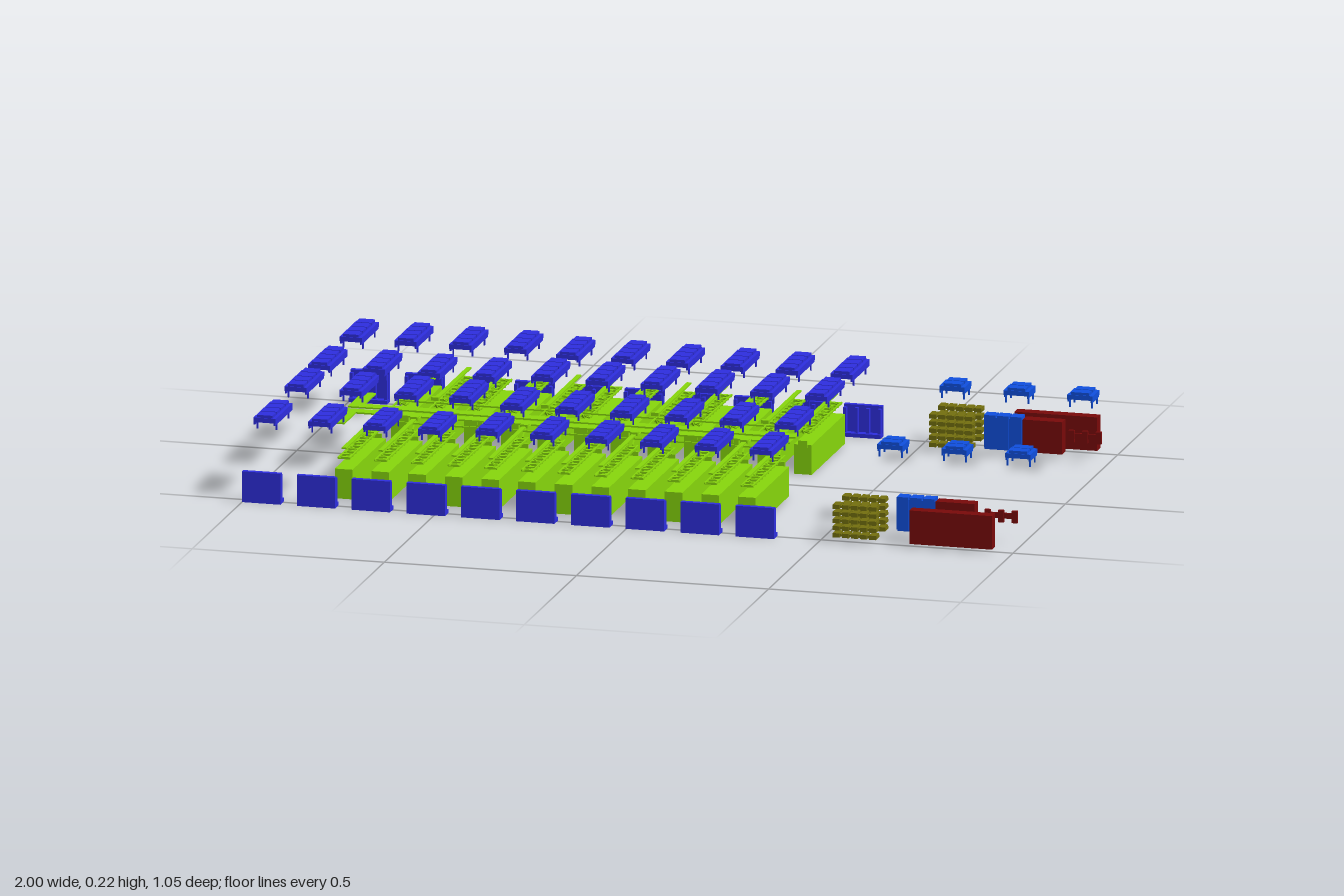
import * as THREE from 'three';

const mat = (color) => new THREE.MeshStandardMaterial({ color, flatShading: true });
const BLUE = mat(0x2e2ee0), AZURE = mat(0x1050e0), GREEN = mat(0x88d80c),
  RED = mat(0x7a0a0a), OLIVE = mat(0x74700f);

// Box given by its limits on each axis
function box(parent, name, m, x0, x1, y0, y1, z0, z1) {
  const b = new THREE.Mesh(new THREE.BoxGeometry(x1 - x0, y1 - y0, Math.abs(z1 - z0)), m);
  b.position.set((x0 + x1) / 2, (y0 + y1) / 2, (z0 + z1) / 2);
  b.name = name;
  parent.add(b);
  return b;
}

// Thin square bar between two points
function bar(parent, name, m, a, b, t) {
  const from = new THREE.Vector3(...a), to = new THREE.Vector3(...b);
  const mesh = new THREE.Mesh(new THREE.BoxGeometry(t, t, from.distanceTo(to)), m);
  mesh.position.copy(from).add(to).multiplyScalar(0.5);
  mesh.lookAt(to);
  mesh.name = name;
  parent.add(mesh);
}

function group(parent, name) {
  const g = new THREE.Group();
  g.name = name;
  parent.add(g);
  return g;
}

// Raised table: board, inset top slabs and corner legs
function table(parent, name, m, x, w, z0, z1, y, slabs) {
  const g = group(parent, name), h = w / 2, len = z1 - z0;
  box(g, 'board', m, x - h, x + h, y, y + 0.012, z0, z1);
  for (let i = 0; i < slabs; i++) {
    const a = z0 + len * (i + 0.06) / slabs, b = z0 + len * (i + 0.94) / slabs;
    box(g, 'topSlab', m, x - h * 0.7, x + h * 0.7, y + 0.012, y + 0.019, a, b);
  }
  for (const sx of [-1, 1]) {
    box(g, 'sideRail', m, x + sx * (h - 0.003) - 0.002, x + sx * (h - 0.003) + 0.002, y - 0.006, y, z0, z1);
    for (const z of [z0 + len * 0.15, z1 - len * 0.15])
      box(g, 'leg', m, x + sx * (h - 0.004) - 0.002, x + sx * (h - 0.004) + 0.002, y - 0.022, y, z - 0.002, z + 0.002);
  }
}

// Cabinet front with a foot shelf and ribs on the inner side
function panel(parent, x, s) {
  const g = group(parent, 'wallPanel');
  box(g, 'face', BLUE, x - 0.05, x + 0.05, 0, 0.08, s * 0.511, s * 0.525);
  box(g, 'foot', BLUE, x - 0.05, x + 0.05, 0, 0.01, s * 0.492, s * 0.511);
  for (let i = 0; i < 4; i++) {
    const rx = x - 0.045 + i * 0.03;
    box(g, 'rib', BLUE, rx - 0.004, rx + 0.004, 0.01, 0.074, s * 0.5, s * 0.511);
  }
}

// Green bed with beaded rail, zigzag lattice and overhead rail
function lane(parent, x, s) {
  const g = group(parent, 'lane');
  box(g, 'bed', GREEN, x - 0.023, x + 0.023, 0, 0.077, s * 0.108, s * 0.427);
  box(g, 'endPlate', GREEN, x - 0.012, x + 0.012, 0.07, 0.088, s * 0.104, s * 0.109);
  for (const dx of [-0.014, 0.014])
    bar(g, 'lowerRail', GREEN, [x + dx, 0.106, s * 0.427], [x + dx, 0.106, s * 0.115], 0.004);
  const n = 11, step = 0.312 / n;
  for (let i = 0; i < n; i++) {
    const z = 0.427 - i * step, d = i % 2 ? 0.014 : -0.014;
    bar(g, 'zigzag', GREEN, [x + d, 0.106, s * z], [x - d, 0.106, s * (z - step)], 0.003);
    box(g, 'roller', GREEN, x - 0.016, x + 0.016, 0.102, 0.108, s * (z - 0.004), s * (z - 0.012));
  }
  bar(g, 'ramp', GREEN, [x, 0.106, s * 0.115], [x, 0.12, s * 0.098], 0.004);
  bar(g, 'link', GREEN, [x, 0.12, s * 0.1], [x, 0.12, s * 0.04], 0.004);
  box(g, 'upperRail', GREEN, x - 0.006, x + 0.006, 0.128, 0.132, s * 0.095, s * 0.423);
  box(g, 'railHead', GREEN, x - 0.01, x + 0.01, 0.128, 0.137, s * 0.094, s * 0.106);
}

// Stack of slatted pallets
function slats(parent, z) {
  const g = group(parent, 'slatStack');
  for (let i = 0; i < 5; i++) {
    const y = 0.016 + i * 0.0185;
    box(g, 'slat', OLIVE, 0.535, 0.65, y, y + 0.006, z - 0.011, z + 0.011);
    for (let k = 0; k < 5; k++) {
      const x = 0.536 + k * 0.0235;
      box(g, 'block', OLIVE, x, x + 0.018, y - 0.002, y + 0.009, z - 0.016, z + 0.016);
    }
  }
}

export function createModel() {
  const model = new THREE.Group();
  model.name = 'productionHall';
  for (const s of [-1, 1]) {
    const half = group(model, s > 0 ? 'frontHalf' : 'backHalf');
    const span = (a, b) => (s > 0 ? [a, b] : [-b, -a]);

    // Ten bays of panels and tables; the first four tables sit offset
    for (let i = 0; i < 10; i++) {
      const x = -0.95 + i * 0.1427, first = i < 4;
      panel(half, x, s);
      table(half, 'outerTable', BLUE, x, 0.058, ...span(first ? 0.33 : 0.305, first ? 0.493 : 0.468), 0.201, 4);
      table(half, 'innerTable', BLUE, x, 0.058, ...span(first ? 0.028 : 0.062, first ? 0.196 : 0.23), 0.206, 4);
    }

    // Twelve lanes feeding a long belt with a short arm
    for (let i = 0; i < 12; i++) lane(half, -0.762 + i * 0.0954, s);
    const belt = group(half, 'mainBelt');
    box(belt, 'beltRun', GREEN, -0.87, 0.295, 0.118, 0.122, s * 0.01, s * 0.043);
    box(belt, 'beltArm', GREEN, -0.87, -0.835, 0.118, 0.122, s * 0.043, s * 0.152);
    bar(belt, 'crossPipe', GREEN, [-0.77, 0.12, s * 0.104], [0.295, 0.12, s * 0.104], 0.004);

    // Service corner: small tables, pallets and cabinets
    for (const x of [0.633, 0.8, 0.966]) table(half, 'smallTable', AZURE, x, 0.066, ...span(0.264, 0.33), 0.2, 2);
    slats(half, s * 0.416);
    slats(half, s * 0.503);
    const cab = group(half, 'cabinets');
    box(cab, 'longCabinet', RED, 0.735, 0.95, 0.01, 0.097, s * 0.487, s * 0.517);
    box(cab, 'shortCabinet', RED, 0.78, 0.882, 0.018, 0.102, s * 0.4, s * 0.433);
    box(cab, 'blueCabinet', AZURE, 0.68, 0.78, 0.018, 0.1, s * 0.403, s * 0.43);
    for (let k = 0; k < 3; k++)
      box(cab, 'blueDoor', AZURE, 0.679 + k * 0.034, 0.709 + k * 0.034, 0.022, 0.107, s * 0.4, s * 0.433);
    box(cab, 'bracket', RED, 0.9, 0.985, 0.062, 0.076, s * 0.398, s * 0.404);
    for (const x of [0.9, 0.935, 0.97])
      box(cab, 'bracketPlate', RED, x, x + 0.015, 0.052, 0.083, s * 0.397, s * 0.406);
  }
  return model;
}
